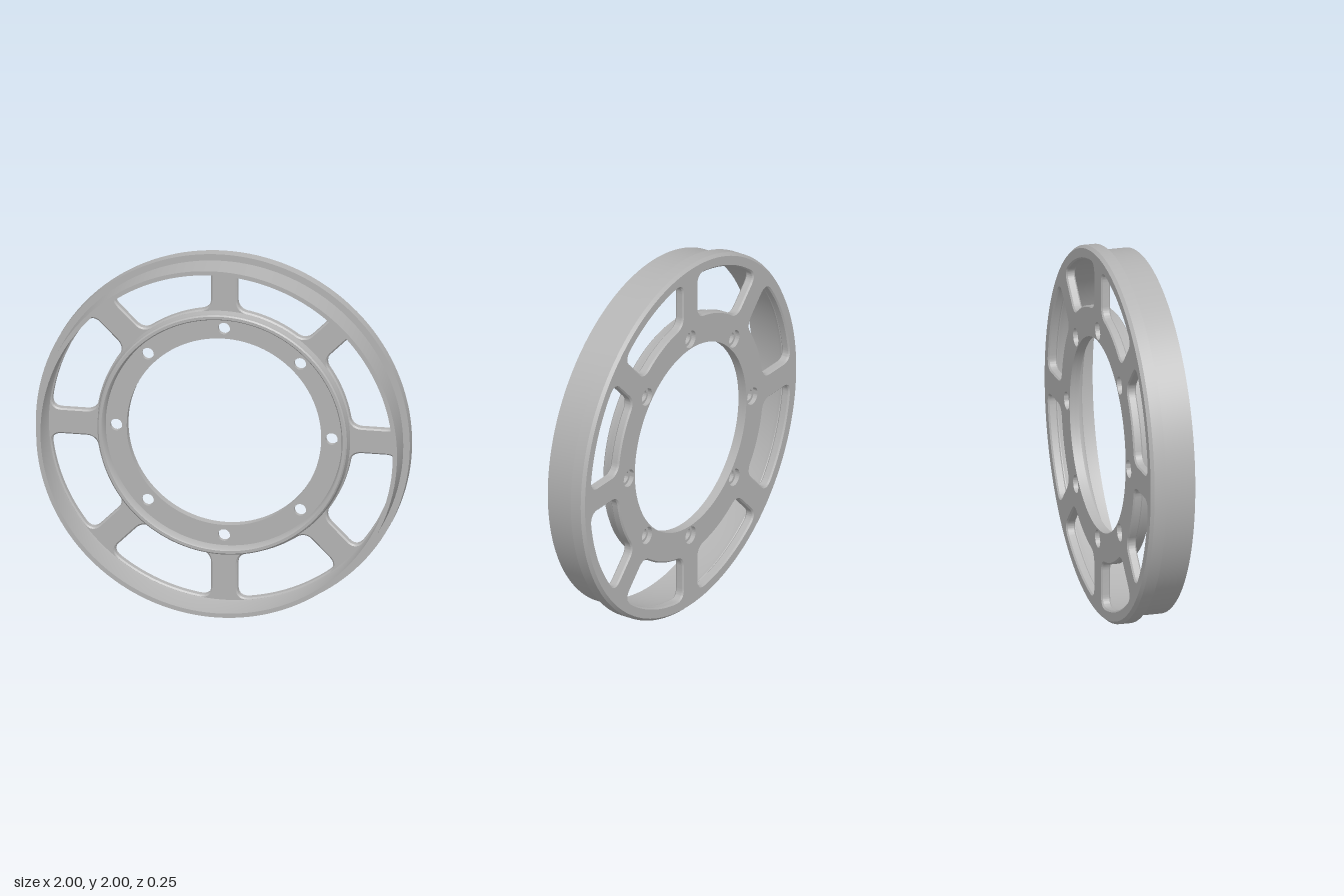
import * as THREE from 'three';
import { toCreasedNormals } from 'three/addons/utils/BufferGeometryUtils.js';

const COUNT = 8, STEP = Math.PI * 2 / COUNT;
const BACK = -0.125, FACE = -0.075;      // depth of the spoked plate
const HUB_IN = 0.52, BOLT_R = 0.576;

const polar = (r, a) => new THREE.Vector2(r * Math.cos(a), r * Math.sin(a));

function circle(Kind, r, cx = 0, cy = 0) {
  const p = new Kind();
  p.absarc(cx, cy, r, 0, Math.PI * 2, false);
  return p;
}

// Opening between two neighbouring spokes, with rounded corners
function windowPath(start) {
  const rIn = 0.683, rOut = 0.928, half = 0.07, c = 0.06;
  const p = new THREE.Path();
  const aIn = Math.asin(half / rIn), aOut = Math.asin(half / rOut);
  const edge = r => Math.asin(half / r);
  const at = (r, a) => polar(r, start + a);
  const curve = (q, e) => p.quadraticCurveTo(q.x, q.y, e.x, e.y);
  const s = at(rIn + c, edge(rIn + c));
  p.moveTo(s.x, s.y);
  const e1 = at(rOut - c, edge(rOut - c));
  p.lineTo(e1.x, e1.y);
  curve(at(rOut, aOut), at(rOut, aOut + c / rOut));
  p.absarc(0, 0, rOut, start + aOut + c / rOut, start + STEP - aOut - c / rOut, false);
  curve(at(rOut, STEP - aOut), at(rOut - c, STEP - edge(rOut - c)));
  const e2 = at(rIn + c, STEP - edge(rIn + c));
  p.lineTo(e2.x, e2.y);
  curve(at(rIn, STEP - aIn), at(rIn, STEP - aIn - c / rIn));
  p.absarc(0, 0, rIn, start + STEP - aIn - c / rIn, start + aIn + c / rIn, true);
  curve(at(rIn, aIn), s);
  return p;
}

// Ring turned around the z axis from a closed (radius, depth) profile
function turned(profile) {
  const pts = [...profile, profile[0]].map(([r, z]) => new THREE.Vector2(r, z));
  const g = new THREE.LatheGeometry(pts, 144);
  g.rotateX(Math.PI / 2);
  return toCreasedNormals(g, 0.5);
}

// Flat hub ring pierced by bolt holes
function hubLayer(z0, z1, holeR) {
  const s = circle(THREE.Shape, 0.65);
  s.holes.push(circle(THREE.Path, HUB_IN));
  for (let i = 0; i < COUNT; i++) {
    const c = polar(BOLT_R, i * STEP);
    s.holes.push(circle(THREE.Path, holeR, c.x, c.y));
  }
  const g = new THREE.ExtrudeGeometry(s, { depth: z1 - z0, bevelEnabled: false, curveSegments: 60 });
  g.translate(0, 0, z0);
  return toCreasedNormals(g, 0.5);
}

function spokePlate() {
  const s = circle(THREE.Shape, 0.96);
  s.holes.push(circle(THREE.Path, 0.625));
  for (let i = 0; i < COUNT; i++) s.holes.push(windowPath(i * STEP));
  const b = 0.008;
  const g = new THREE.ExtrudeGeometry(s, {
    depth: FACE - BACK - 2 * b, bevelEnabled: true, bevelThickness: b,
    bevelSize: b, bevelOffset: -b, bevelSegments: 1, curveSegments: 24,
  });
  g.translate(0, 0, BACK + b);
  return toCreasedNormals(g, 0.5);
}

export function createModel() {
  const metal = new THREE.MeshStandardMaterial({ color: 0xb4b4b4 });
  metal.name = 'grey metal';
  const model = new THREE.Group();
  model.name = 'spokedRing';
  const add = (name, geometry) => {
    const m = new THREE.Mesh(geometry, metal);
    m.name = name;
    m.position.y = 1;
    model.add(m);
  };

  // Outer rim: chamfered flange at the back, thin wall at the front
  add('rim', turned([
    [0.94, BACK], [0.985, BACK], [1, -0.108], [1, -0.045], [0.965, -0.045],
    [0.965, 0.125], [0.942, 0.125], [0.94, -0.05], [0.935, -0.07], [0.94, -0.085],
  ]));

  add('spokes', spokePlate());

  // Hub ring with counterbored bolt holes opening to the back
  add('hubBack', hubLayer(BACK, -0.1, 0.048));
  add('hubFront', hubLayer(-0.1, FACE, 0.032));

  // Raised lip around the hub
  add('hubLip', turned([
    [0.632, -0.085], [0.675, -0.085], [0.675, -0.072], [0.669, -0.055], [0.667, -0.027],
    [0.66, -0.02], [0.645, -0.02], [0.639, -0.028], [0.632, FACE],
  ]));

  return model;
}
